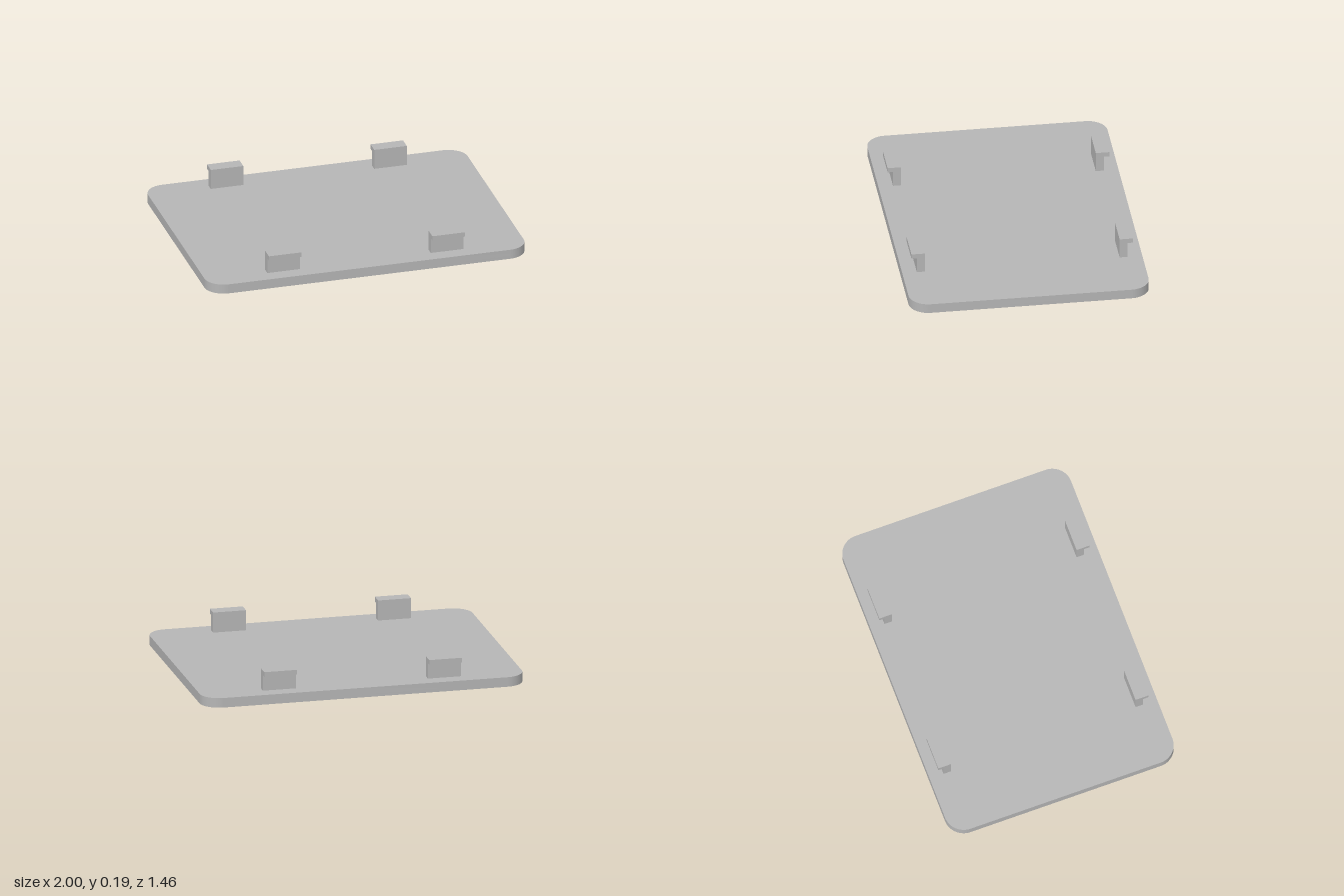
import * as THREE from 'three';
import { toCreasedNormals } from 'three/addons/utils/BufferGeometryUtils.js';

const HALF_X = 1, HALF_Z = 0.73, RADIUS = 0.12;
const THICKNESS = 0.06, RECESS = 0.02;

// Rounded rectangle outline of the plate
function plateOutline() {
  const s = new THREE.Shape();
  const x = HALF_X - RADIUS, z = HALF_Z - RADIUS;
  s.absarc(x, z, RADIUS, 0, Math.PI / 2);
  s.absarc(-x, z, RADIUS, Math.PI / 2, Math.PI);
  s.absarc(-x, -z, RADIUS, Math.PI, Math.PI * 1.5);
  s.absarc(x, -z, RADIUS, Math.PI * 1.5, Math.PI * 2);
  s.closePath();
  return s;
}

// Horizontal slab extruded upwards from y = bottom
function slab(shape, bottom, height) {
  const g = new THREE.ExtrudeGeometry(shape, { depth: height, bevelEnabled: false, curveSegments: 16 });
  g.rotateX(-Math.PI / 2);
  g.translate(0, bottom, 0);
  return toCreasedNormals(g, 0.5);
}

export function createModel() {
  const model = new THREE.Group();
  model.name = 'coverPlate';
  const grey = new THREE.MeshStandardMaterial({ color: 0xb5b5b5 });
  grey.name = 'grey';

  const add = (name, geometry) => {
    const mesh = new THREE.Mesh(geometry, grey);
    mesh.name = name;
    model.add(mesh);
    return mesh;
  };

  // Underside layer with a shallow triangular arrow recess
  const underside = plateOutline();
  const arrow = [[0.1, 0.22], [0.1, -0.22], [-0.35, 0]].map(([x, z]) => new THREE.Vector2(x, z));
  underside.holes.push(new THREE.Path(arrow));
  add('plateUnderside', slab(underside, 0, RECESS));

  // Solid upper layer, which closes the recess
  add('plateTop', slab(plateOutline(), RECESS, THICKNESS - RECESS));

  // Hooked clips: L profile in z and y, lip pointing outwards
  const profile = new THREE.Shape([
    [0.592, THICKNESS], [0.641, THICKNESS], [0.641, 0.157],
    [0.674, 0.157], [0.674, 0.186], [0.592, 0.186],
  ].map(([z, y]) => new THREE.Vector2(z, y)));
  const clipWidth = 0.204;
  const clip = new THREE.ExtrudeGeometry(profile, { depth: clipWidth, bevelEnabled: false });
  clip.translate(0, 0, -clipWidth / 2);
  clip.rotateY(-Math.PI / 2);

  for (const [end, turn] of [['front', 0], ['back', Math.PI]]) {
    for (const [side, x] of [['Left', 0.512], ['Right', -0.512]]) {
      const mesh = add(`${end}${side}Clip`, clip);
      mesh.position.x = x;
      mesh.rotation.y = turn;
    }
  }
  return model;
}
